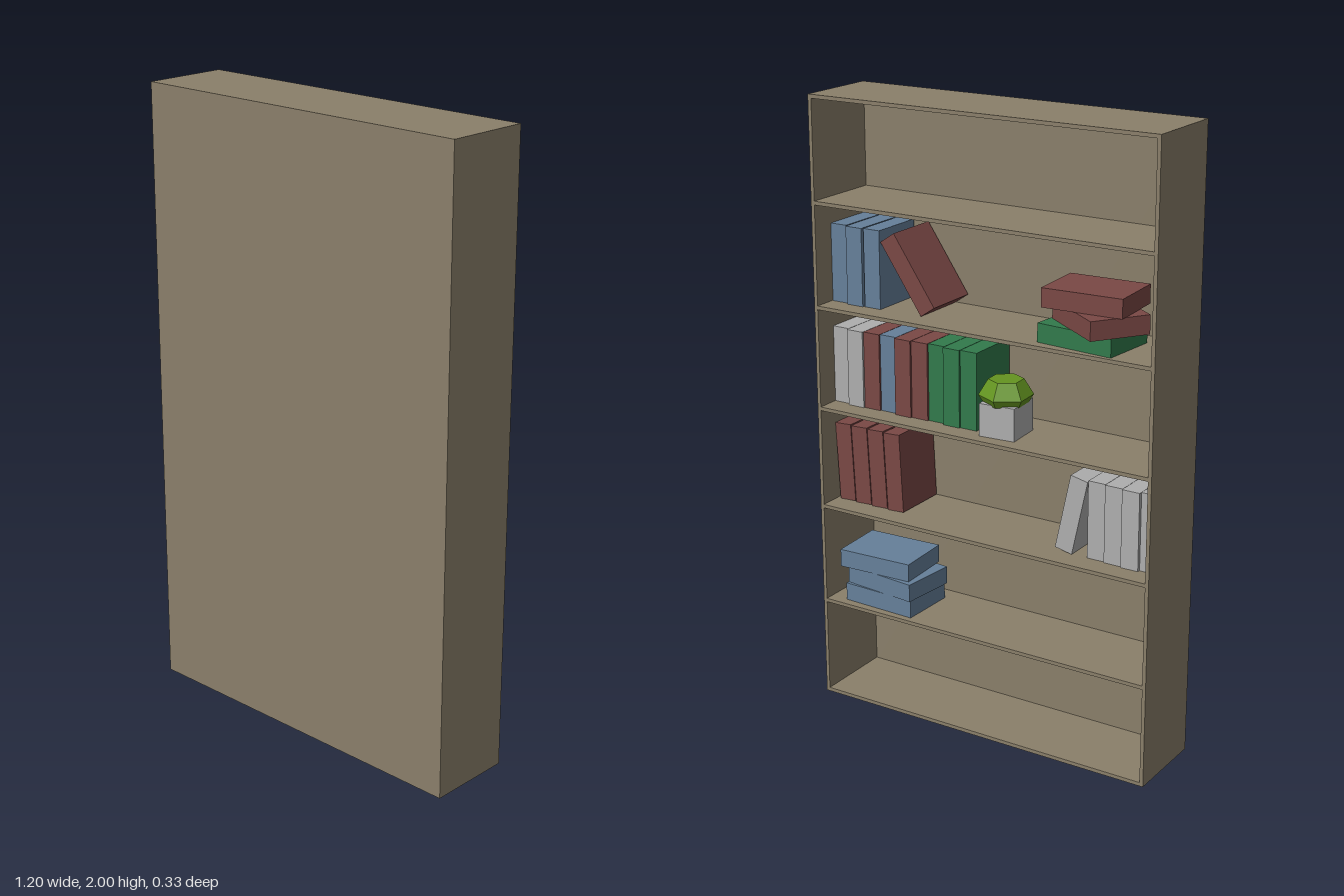
import * as THREE from 'three';

const mat = (name, color) => {
  const m = new THREE.MeshStandardMaterial({ color });
  m.name = name;
  return m;
};

export function createModel() {
  const wood = mat('wood', 0x8a7f6a);
  const red = mat('red cover', 0x7a4845);
  const blue = mat('blue cover', 0x66809a);
  const green = mat('green cover', 0x327a4c);
  const grey = mat('grey cover', 0xaeaeae);
  const leaf = mat('leaf green', 0x649420);

  const model = new THREE.Group();
  model.name = 'bookcase';

  const box = (name, material, size, pos, parent = model) => {
    const m = new THREE.Mesh(new THREE.BoxGeometry(...size), material);
    m.name = name;
    m.position.set(...pos);
    parent.add(m);
    return m;
  };

  // Case: open towards -z, panel at +z
  const Z0 = -0.115, Z1 = 0.167, D = Z1 - Z0, ZC = (Z0 + Z1) / 2;
  const T = 0.012, INNER = 0.6 - T;
  for (const s of [-1, 1]) box(s > 0 ? 'leftSide' : 'rightSide', wood, [T, 2, D], [s * (0.6 - T / 2), 1, ZC]);
  box('panel', wood, [2 * INNER, 2, T], [0, 1, Z1 - T / 2]);
  for (let i = 0; i <= 6; i++) {
    const y = i === 0 ? T / 2 : i === 6 ? 2 - T / 2 : i / 3;
    box('shelf' + i, wood, [2 * INNER, T, D - T], [0, y, ZC - T / 2]);
  }
  const shelfTop = i => i / 3 + T / 2;

  // Book dimensions: thickness, height, depth
  const BT = 0.06, BH = 0.25, BD = 0.19, BZ = 0.057;
  const books = new THREE.Group();
  books.name = 'books';
  model.add(books);

  // Row of standing books beginning at x and running in direction dir
  const row = (shelf, x, dir, covers, pitch = 0.0605) => covers.forEach((c, i) => {
    box('standingBook', c, [BT - 0.001, BH, BD],
      [x + dir * (i + 0.5) * pitch, shelfTop(shelf) + BH / 2, BZ - 0.005 * ((i * 2) % 3)], books);
  });

  // Book whose upper corner rests against a neighbour at x; side is the neighbour's direction
  const leaning = (shelf, x, side, angle, cover, height = BH) => {
    const s = Math.sin(angle), c = Math.cos(angle);
    const b = box('leaningBook', cover, [BT, height, BD], [
      x - side * (s * height / 2 + c * BT / 2),
      shelfTop(shelf) + c * height / 2 + s * BT / 2,
      BZ - 0.003], books);
    b.rotation.z = -side * angle;
  };

  // Stack of lying books: [cover, x, z, turn]
  const stack = (shelf, list) => list.forEach(([cover, x, z, turn], i) => {
    const b = box('lyingBook', cover, [0.26, BT - 0.001, BD],
      [x, shelfTop(shelf) + (i + 0.5) * BT, z], books);
    b.rotation.y = turn;
  });

  row(4, INNER, -1, [blue, blue, blue], 0.064);
  leaning(4, 0.395, 1, 0.6, red, 0.26);
  stack(4, [[green, -0.33, 0.003, -0.088], [red, -0.367, -0.015, -0.61], [red, -0.35, -0.015, 0.063]]);

  row(3, INNER, -1, [grey, grey, red, blue, red, red, green, green, green]);

  for (let i = 0; i < 4; i++) leaning(2, INNER - i * 0.063, 1, 0.05, red, 0.26);
  row(2, -INNER, 1, [grey, grey, grey, grey], 0.06);
  leaning(2, -0.348, -1, 0.21, grey);

  stack(1, [[blue, 0.395, 0.005, -0.03], [blue, 0.385, 0.005, -0.1], [blue, 0.415, 0.005, 0.05]]);

  // Potted plant
  const plant = new THREE.Group();
  plant.name = 'pottedPlant';
  plant.position.set(-0.04, shelfTop(3), -0.008);
  plant.rotation.y = 0.08;
  model.add(plant);
  box('pot', grey, [0.12, 0.105, 0.125], [0, 0.0525, 0], plant);
  // Faceted two-tier crown
  [[0.07, 0.085, 0.1, 0.025], [0.055, 0.085, 0.125, 0.05]].forEach(([top, bottom, y, h], i) => {
    const r = i === 0 ? [bottom, top] : [top, bottom];
    const g = new THREE.CylinderGeometry(r[0], r[1], h, 6).toNonIndexed();
    g.computeVertexNormals();
    const m = new THREE.Mesh(g, leaf);
    m.name = 'foliage';
    m.position.y = y + h / 2;
    plant.add(m);
  });

  return model;
}
